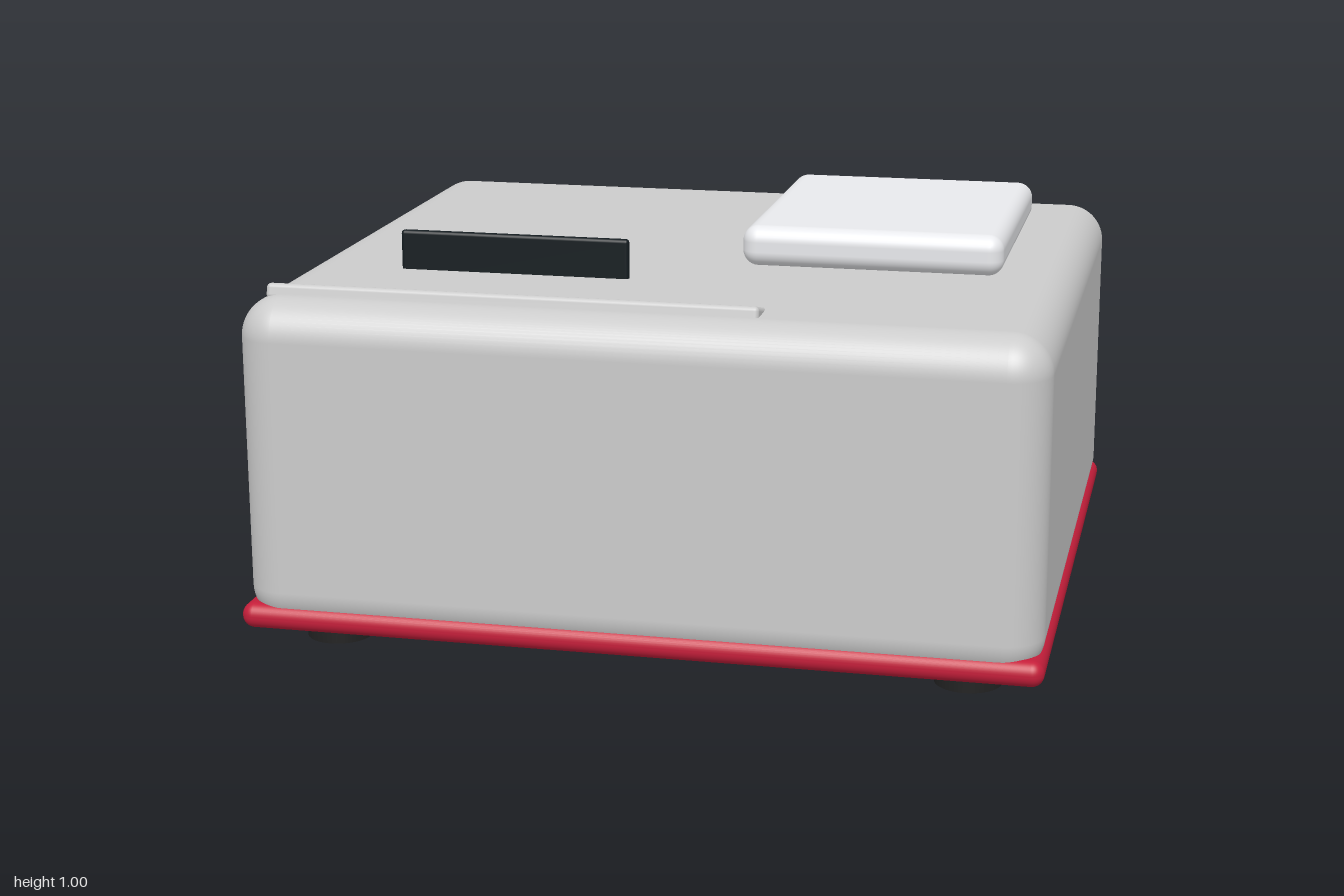
import * as THREE from 'three';
import { RoundedBoxGeometry } from 'three/addons/geometries/RoundedBoxGeometry.js';

const material = (color) => new THREE.MeshStandardMaterial({ color });

export function createModel() {
  const model = new THREE.Group();
  model.name = 'countertopDevice';

  // Rounded block given by its min and max corners
  function block(name, min, max, radius, mat, segments = 5) {
    const size = max.map((v, i) => v - min[i]);
    const mesh = new THREE.Mesh(new RoundedBoxGeometry(...size, segments, radius), mat);
    mesh.position.set(...max.map((v, i) => (v + min[i]) / 2));
    mesh.name = name;
    model.add(mesh);
    return mesh;
  }

  // Housing and the coloured base plate around its foot
  block('body', [-0.993, 0.061, -0.876], [0.993, 0.9, 0.876], 0.1, material(0xcccccc), 8);
  block('basePlate', [-1, 0.06, -0.88], [1, 0.125, 0.88], 0.031, material(0xc41e3a));

  // Raised pad and upright dark plate on the top
  block('topPad', [0.14, 0.898, -0.582], [0.81, 1.003, 0.223], 0.04, material(0xe8e9ec));
  block('uprightPlate', [-0.7, 0.86, 0.41], [-0.105, 1, 0.432], 0.009, material(0x141c20), 3);

  // Slim strip sunk into the top, tilted up towards the front
  const strip = block('frontStrip', [-0.935, 0.873, 0.657], [0.295, 0.913, 0.777], 0.012, material(0xf8f9fa), 3);
  strip.rotation.x = -0.25;

  // Four round feet
  const footGeometry = new THREE.CylinderGeometry(0.083, 0.083, 0.08, 32);
  const footMaterial = material(0x222222);
  for (const x of [-1, 1]) {
    for (const z of [-1, 1]) {
      const foot = new THREE.Mesh(footGeometry, footMaterial);
      foot.position.set(x * 0.803, 0.04, z * 0.692);
      foot.name = `${z > 0 ? 'front' : 'back'}${x > 0 ? 'Left' : 'Right'}Foot`;
      model.add(foot);
    }
  }

  return model;
}
